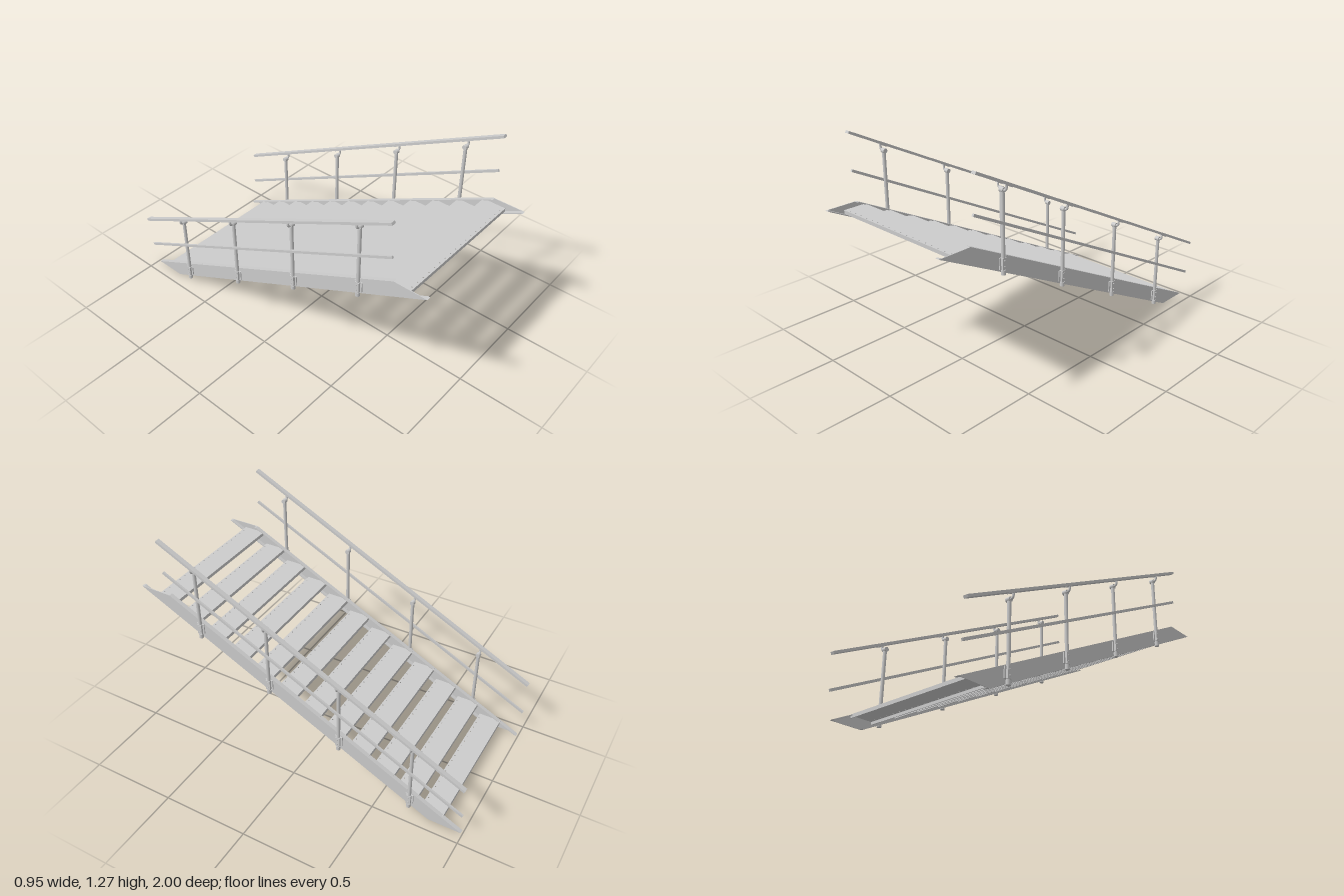
import * as THREE from 'three';

const mat = new THREE.MeshStandardMaterial({ color: 0xcccccc, side: THREE.DoubleSide });
const SLOPE = 0.5;
const ANGLE = -Math.atan(SLOPE);

function add(parent, geometry, name, x = 0, y = 0, z = 0) {
  const mesh = new THREE.Mesh(geometry, mat);
  mesh.name = name;
  mesh.position.set(x, y, z);
  parent.add(mesh);
  return mesh;
}

// Side profile given as [z, y] corners, extruded across x and centred on it
function sideSlab(points, width) {
  const shape = new THREE.Shape(points.map(([z, y]) => new THREE.Vector2(z, y)));
  const g = new THREE.ExtrudeGeometry(shape, { depth: width, bevelEnabled: false });
  return g.translate(0, 0, -width / 2).rotateY(-Math.PI / 2);
}

// Channel stringer, open towards the treads
function stringer(side) {
  const group = new THREE.Group();
  group.name = 'stringer';
  const t = 0.012; // flange thickness measured along z
  add(group, sideSlab([[-0.99, 0], [-0.8, 0], [1, 0.9], [0.81, 0.9]], 0.004), 'stringerWeb', side * 0.428);
  add(group, sideSlab([[-0.99, 0], [-0.99 + t, 0], [0.81 + t, 0.9], [0.81, 0.9]], 0.024), 'topFlange', side * 0.418);
  add(group, sideSlab([[-0.8 - t, 0], [-0.8, 0], [1, 0.9], [1 - t, 0.9]], 0.024), 'bottomFlange', side * 0.418);
  return group;
}

// Folded tread with a row of small drain holes along its rear edge
function makeTreadPlate() {
  const w = 0.42, d = 0.066;
  const shape = new THREE.Shape([[-w, -d], [w, -d], [w, d], [-w, d]].map(p => new THREE.Vector2(...p)));
  for (let i = 0; i < 18; i++) {
    const hole = new THREE.Path();
    hole.absarc(-0.3825 + i * 0.045, -d + 0.012, 0.004, 0, Math.PI * 2, true);
    shape.holes.push(hole);
  }
  const g = new THREE.ExtrudeGeometry(shape, { depth: 0.004, bevelEnabled: false, curveSegments: 4 });
  return g.rotateX(-Math.PI / 2);
}

// Post with clamp, bolts, top knuckle and the arm carrying the handrail
function post(side, z) {
  const group = new THREE.Group();
  group.name = 'railPost';
  const base = SLOPE * z + 0.39;
  const top = SLOPE * z + 0.82;
  const x = side * 0.437;
  add(group, new THREE.CylinderGeometry(0.01, 0.01, top - base, 16), 'postTube', x, (base + top) / 2, z);
  add(group, new THREE.CylinderGeometry(0.0125, 0.0125, 0.024, 16), 'postFoot', x, base + 0.012, z);
  add(group, new THREE.BoxGeometry(0.006, 0.06, 0.046), 'clampPlate', side * 0.433, base + 0.06, z);
  add(group, new THREE.BoxGeometry(0.016, 0.06, 0.026), 'clampSaddle', side * 0.44, base + 0.06, z);
  for (const dy of [0.045, 0.075]) {
    const bolt = add(group, new THREE.CylinderGeometry(0.004, 0.004, 0.012, 8), 'clampBolt', side * 0.446, base + dy, z);
    bolt.rotation.z = Math.PI / 2;
  }
  const knuckle = add(group, new THREE.CylinderGeometry(0.013, 0.013, 0.025, 16), 'postKnuckle', side * 0.435, top, z);
  knuckle.rotation.z = Math.PI / 2;
  const arm = new THREE.CatmullRomCurve3([
    new THREE.Vector3(side * 0.44, top, z),
    new THREE.Vector3(side * 0.454, top + 0.001, z),
    new THREE.Vector3(side * 0.461, top + 0.009, z),
    new THREE.Vector3(side * 0.462, top + 0.034, z),
  ]);
  add(group, new THREE.TubeGeometry(arm, 12, 0.0065, 10), 'handrailArm');
  const saddle = add(group, new THREE.BoxGeometry(0.02, 0.004, 0.05), 'handrailSaddle', side * 0.461, top + 0.023, z - 0.01);
  saddle.rotation.x = -ANGLE * -1;
  return group;
}

export function createModel() {
  const model = new THREE.Group();
  model.name = 'staircase';

  // Treads
  const plate = makeTreadPlate();
  const lip = new THREE.BoxGeometry(0.84, 0.02, 0.004);
  for (let i = 0; i < 12; i++) {
    const tread = new THREE.Group();
    tread.name = 'tread';
    tread.position.set(0, 0.048 + i * 0.0743, -0.813 + i * 0.1493);
    add(tread, plate, 'treadPlate', 0, 0.006, 0);
    for (const s of [-1, 1]) add(tread, lip, 'treadLip', 0, 0, s * 0.064);
    model.add(tread);
  }

  // Stringers, posts and rails on both sides
  const zMid = -0.092;
  for (const side of [-1, 1]) {
    model.add(stringer(side));
    for (let i = 0; i < 4; i++) model.add(post(side, 0.61 - i * 0.432));
    const hand = add(model, new THREE.BoxGeometry(0.026, 0.014, 2.018), 'handrail', side * 0.461, SLOPE * zMid + 0.857, zMid);
    const mid = add(model, new THREE.BoxGeometry(0.011, 0.014, 2.018), 'midRail', side * 0.45, SLOPE * zMid + 0.655, zMid);
    hand.rotation.x = mid.rotation.x = ANGLE;
  }
  return model;
}
